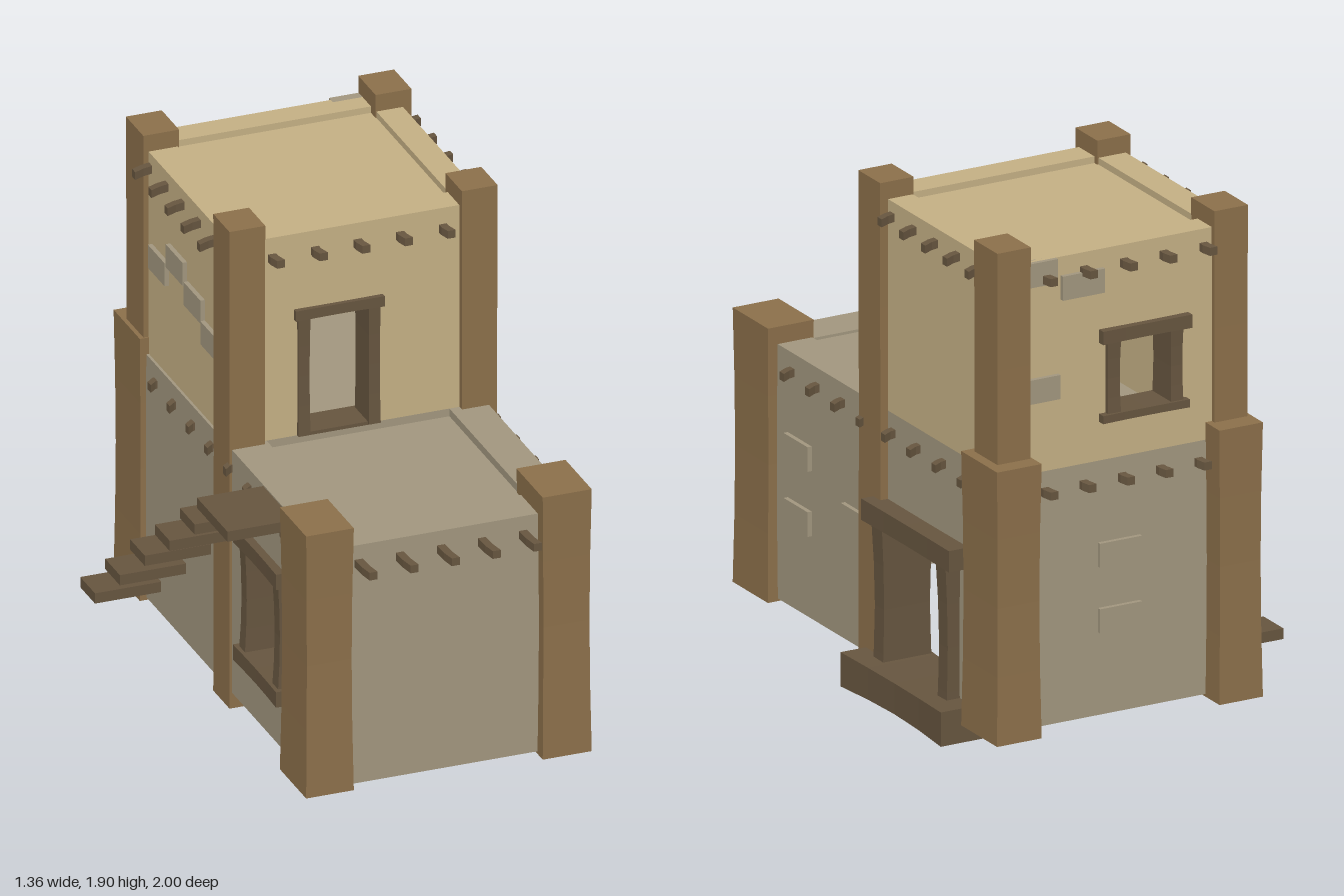
import * as THREE from 'three';

const make = (name, hex) => {
  const m = new THREE.MeshStandardMaterial({ color: hex });
  m.name = name;
  return m;
};

export function createModel() {
  const root = new THREE.Group();
  root.name = 'adobeHouse';
  const clay = make('greyClay', 0xa1967e);
  const sand = make('sandClay', 0xc4af84);
  const post = make('postBrown', 0x8b6f4a);
  const wood = make('darkWood', 0x66553f);

  const add = (name, geo, mat) => {
    const m = new THREE.Mesh(geo, mat);
    m.name = name;
    root.add(m);
    return m;
  };

  // Box given by its limits
  const block = (name, mat, [x0, x1], [y0, y1], [z0, z1]) =>
    add(name, new THREE.BoxGeometry(x1 - x0, y1 - y0, z1 - z0)
      .translate((x0 + x1) / 2, (y0 + y1) / 2, (z0 + z1) / 2), mat);

  // Rough-hewn beam: pinched by a fraction at the middle of its long axis
  const beam = (name, mat, xs, ys, zs, axis, pinch) => {
    const size = [xs, ys, zs].map(([a, b]) => b - a);
    const seg = [0, 1, 2].map(i => (i === axis ? 4 : 1));
    let g = new THREE.BoxGeometry(...size, ...seg);
    const p = g.attributes.position;
    for (let i = 0; i < p.count; i++) {
      const v = [p.getX(i), p.getY(i), p.getZ(i)];
      const t = v[axis] / size[axis];
      const s = 1 - pinch * Math.cos(t * Math.PI);
      p.setXYZ(i, ...v.map((c, k) => (k === axis ? c : c * s)));
    }
    g = g.toNonIndexed();
    g.computeVertexNormals();
    g.translate(...[xs, ys, zs].map(([a, b]) => (a + b) / 2));
    return add(name, g, mat);
  };

  // Wall slab with an optional opening; u runs along x, or along z for side walls
  const wall = (name, mat, side, [u0, u1], [y0, y1], [d0, d1], hole) => {
    const rect = (P, a, b, c, d) => new P([[a, c], [b, c], [b, d], [a, d]].map(q => new THREE.Vector2(...q)));
    const s = rect(THREE.Shape, u0, u1, y0, y1);
    if (hole) s.holes.push(rect(THREE.Path, ...hole));
    const g = new THREE.ExtrudeGeometry(s, { depth: d1 - d0, bevelEnabled: false });
    if (side) g.rotateY(-Math.PI / 2).translate(d1, 0, 0);
    else g.translate(0, 0, d0);
    return add(name, g, mat);
  };

  // Lower storey: hollow, open underneath
  wall('lowerFrontWall', clay, false, [-0.43, 0.54], [0.1, 1.03], [0.73, 0.89]);
  wall('lowerBackWall', clay, false, [-0.43, 0.54], [0.1, 1.05], [-0.9, -0.76]);
  wall('lowerRightWall', clay, true, [-0.76, 0.73], [0.1, 1.05], [0.4, 0.54], [-0.57, -0.11, 0.11, 0.67]);
  wall('lowerLeftWall', clay, true, [-0.76, 0.73], [0.1, 1.05], [-0.43, -0.29], [0.21, 0.52, 0.33, 0.75]);
  block('lowerRoof', clay, [-0.29, 0.4], [0.94, 1.02], [-0.76, 0.73]);
  block('upperFloor', clay, [-0.29, 0.4], [1.02, 1.05], [-0.76, 0.04]);

  // Upper storey
  wall('upperFrontWall', sand, false, [-0.42, 0.54], [1.05, 1.84], [-0.07, 0.04], [-0.14, 0.1, 1.052, 1.51]);
  wall('upperBackWall', sand, false, [-0.42, 0.54], [1.05, 1.84], [-0.9, -0.8], [-0.14, 0.09, 1.21, 1.5]);
  wall('upperRightWall', sand, true, [-0.8, -0.07], [1.05, 1.84], [0.44, 0.54]);
  wall('upperLeftWall', sand, true, [-0.8, -0.07], [1.05, 1.84], [-0.42, -0.31]);
  block('upperRoof', sand, [-0.31, 0.44], [1.73, 1.815], [-0.8, -0.07]);

  // Corner posts of both storeys
  const lowerPosts = [
    [[-0.49, -0.31], [0.67, 0.92]], [[0.395, 0.58], [0.69, 0.94]],
    [[-0.455, -0.28], [-1.0, -0.75]], [[0.43, 0.61], [-0.985, -0.73]]];
  for (const [xs, zs] of lowerPosts) beam('lowerPost', post, xs, [0.09, 1.115], zs, 1, 0.06);
  for (const xs of [[-0.44, -0.305], [0.437, 0.572]]) {
    beam('middlePost', post, xs, [0.04, 1.905], [-0.09, 0.065], 1, 0.02);
    beam('upperBackPost', post, xs, [0.15, 1.905], [-0.92, -0.755], 1, 0.02);
  }

  // Projecting roof poles, bent a little at the tip
  const pole = (x, y, z, length, turn) => {
    let g = new THREE.BoxGeometry(0.03, 0.03, length + 0.04, 1, 1, 3).translate(0, 0, length / 2 - 0.02);
    const p = g.attributes.position;
    for (let i = 0; i < p.count; i++) {
      const t = Math.max(0, p.getZ(i) / length);
      p.setX(i, p.getX(i) + 0.015 * t * t);
      p.setY(i, p.getY(i) - 0.006 * t);
    }
    g = g.toNonIndexed();
    g.computeVertexNormals();
    g.rotateY(turn).translate(x, y, z);
    add('roofPole', g, wood);
  };
  const Q = Math.PI / 2;
  for (let i = 0; i < 5; i++) {
    pole(-0.28 + 0.155 * i, 0.96, 0.89, 0.105, 0);
    pole(-0.27 + 0.161 * i, 1.763, 0.04, 0.05, 0);
    pole(-0.25 + 0.155 * i, 0.975, -0.9, 0.045, 2 * Q);
    pole(-0.27 + 0.161 * i, 1.775, -0.9, 0.05, 2 * Q);
    pole(0.54, 1.785, -0.12 - 0.154 * i, 0.06, Q);
    pole(-0.42, 1.785, -0.12 - 0.154 * i, 0.07, -Q);
  }
  for (let i = 0; i < 8; i++) {
    pole(0.54, 0.98, 0.59 - 0.179 * i, 0.05, Q);
    pole(-0.43, 0.98, 0.59 - 0.179 * i, 0.03, -Q);
  }

  // Large side doorway
  beam('doorLintel', wood, [0.38, 0.62], [0.64, 0.72], [-0.66, -0.04], 2, 0.03);
  for (const zs of [[-0.15, -0.075], [-0.6, -0.53]])
    beam('doorJamb', wood, [0.39, 0.6], [0, 0.66], zs, 1, 0.12);
  beam('doorSill', wood, [0.38, 0.675], [0.012, 0.14], [-0.7, 0.01], 2, 0.1);

  // Upper front doorway
  beam('upperDoorLintel', wood, [-0.187, 0.148], [1.505, 1.545], [-0.09, 0.06], 0, 0.04);
  for (const xs of [[-0.175, -0.13], [0.09, 0.135]])
    beam('upperDoorJamb', wood, xs, [1.05, 1.515], [-0.08, 0.055], 1, 0.08);
  block('upperDoorThreshold', wood, [-0.14, 0.1], [1.045, 1.058], [-0.09, 0.045]);

  // Upper back window
  beam('backWindowLintel', wood, [-0.21, 0.15], [1.49, 1.54], [-0.93, -0.78], 0, 0.04);
  beam('backWindowSill', wood, [-0.2, 0.15], [1.195, 1.225], [-0.93, -0.78], 0, 0.04);
  for (const xs of [[-0.18, -0.13], [0.072, 0.125]])
    beam('backWindowJamb', wood, xs, [1.21, 1.5], [-0.92, -0.785], 1, 0.08);

  // Lower left window
  beam('sideWindowLintel', wood, [-0.465, -0.27], [0.74, 0.8], [0.16, 0.57], 2, 0.04);
  beam('sideWindowSill', wood, [-0.465, -0.27], [0.28, 0.34], [0.16, 0.57], 2, 0.04);
  for (const zs of [[0.18, 0.235], [0.495, 0.55]])
    beam('sideWindowJamb', wood, [-0.45, -0.275], [0.32, 0.76], zs, 1, 0.1);

  // Plank stairs on the left wall, ending in a wide landing
  const stairY = [0.205, 0.385, 0.57, 0.737, 0.91];
  stairY.forEach((y, i) => {
    const z = -0.68 + 0.237 * i;
    block('stairPlank', wood, [-0.68, -0.4], [y - 0.02, y + 0.02], [z - 0.07, z + 0.07]);
  });
  block('stairLanding', wood, [-0.68, -0.4], [1.005, 1.045], [0.36, 0.65]);

  // Exposed bricks: [x, y, z] centres on each wall
  for (const [y, z] of [[0.698, 0.535], [0.455, 0.535], [0.565, 0.13]])
    block('rightBrick', clay, [0.52, 0.557], [y - 0.046, y + 0.046], [z - 0.085, z + 0.085]);
  for (const [x, y] of [[0.07, 0.7], [0.07, 0.455], [0.41, 1.795], [0.22, 1.725], [0.4, 1.36]])
    block('backBrick', clay, [x - 0.085, x + 0.085], [y - 0.045, y + 0.045], [-0.917, -0.88]);
  for (const [z, y] of [[-0.64, 1.45], [-0.47, 1.53], [-0.3, 1.46], [-0.14, 1.38]])
    block('leftBrick', clay, [-0.437, -0.4], [y - 0.045, y + 0.045], [z - 0.08, z + 0.08]);

  return root;
}
